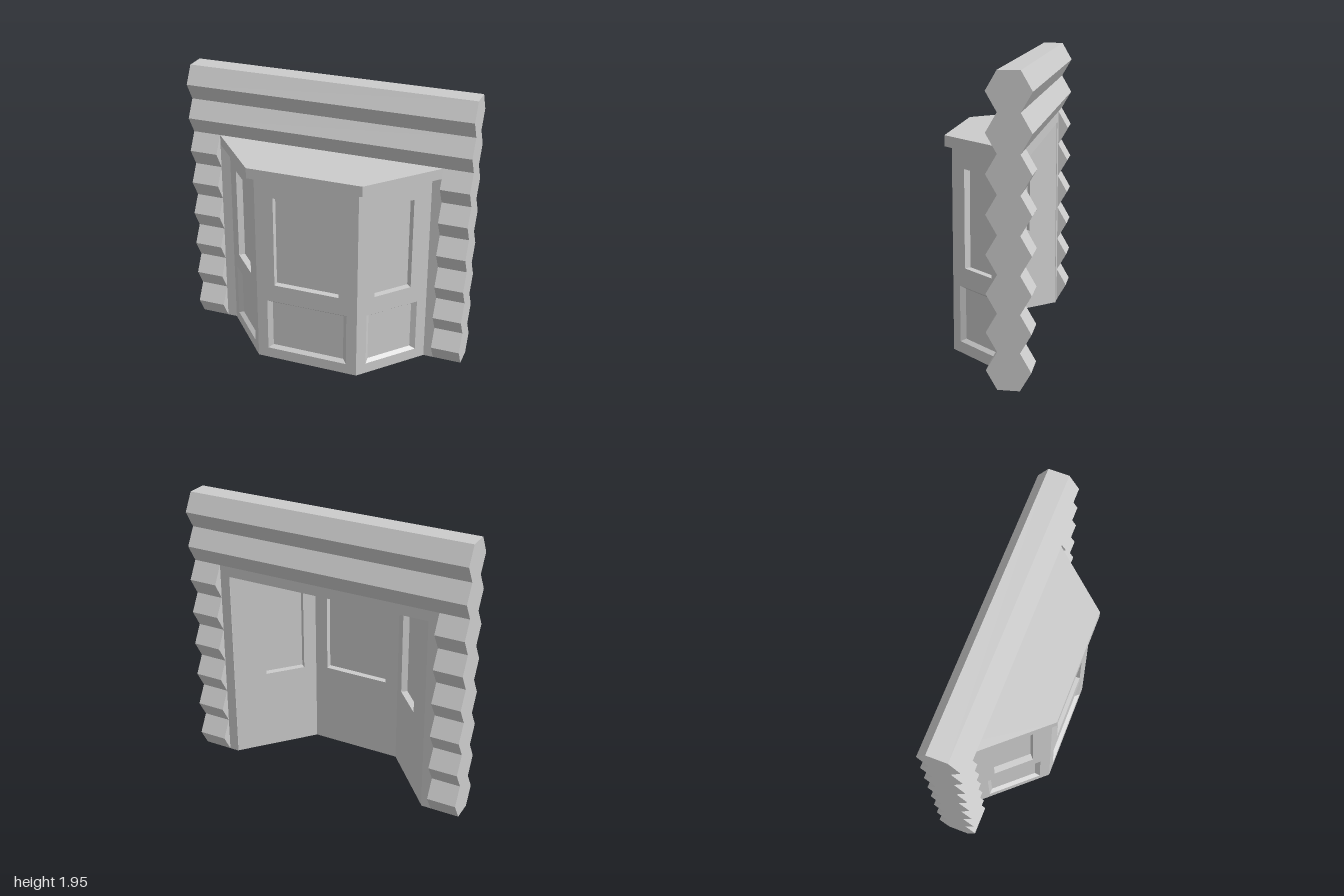
import * as THREE from 'three';

const LOG_H = 1.95 / 8;       // height of one log
const OPEN = 0.8;             // half width of the wall opening
const OPEN_H = LOG_H * 6;     // height of the opening
const WALL_H = 1.39;          // height of the bay walls
const T = 0.09;               // bay wall thickness
const BACK = -0.26, FRONT = -0.12;  // groove planes of the log wall

const solid = new THREE.MeshStandardMaterial({ color: 0xcccccc, flatShading: true });
const thin = new THREE.MeshStandardMaterial({ color: 0xcccccc, flatShading: true, side: THREE.DoubleSide });

function add(parent, name, geometry, material = solid) {
  const mesh = new THREE.Mesh(geometry, material);
  mesh.name = name;
  parent.add(mesh);
  return mesh;
}

const outline = (points) => new THREE.Shape(points.map(([x, y]) => new THREE.Vector2(x, y)));

// Corners of a rectangle, counter-clockwise
const rect = (x0, x1, y0, y1) => [[x0, y0], [x1, y0], [x1, y1], [x0, y1]];

// Stack of hexagonal logs running along x from x0 to x1
function logStack(parent, name, first, count, x0, x1) {
  const mid = (FRONT + BACK) / 2;
  const front = [], back = [];
  for (let i = 0; i <= 2 * count; i++) {
    const y = (first + i / 2) * LOG_H;
    const half = i % 2 ? 0.14 : 0.07;
    front.push([mid + half, y]);
    back.unshift([mid - half, y]);
  }
  const geometry = new THREE.ExtrudeGeometry(outline([...front, ...back]), { depth: x1 - x0, bevelEnabled: false });
  geometry.rotateY(-Math.PI / 2).translate(x1, 0, 0);
  add(parent, name, geometry);
}

// Four sides of a recess between two rectangles at different depths
function recess(outer, z0, inner, z1) {
  const positions = [];
  for (let i = 0; i < 4; i++) {
    const j = (i + 1) % 4;
    const a = [...outer[i], z0], b = [...outer[j], z0], c = [...inner[j], z1], d = [...inner[i], z1];
    positions.push(...a, ...b, ...c, ...a, ...c, ...d);
  }
  const geometry = new THREE.BufferGeometry();
  geometry.setAttribute('position', new THREE.Float32BufferAttribute(positions, 3));
  geometry.computeVertexNormals();
  return geometry;
}

const flat = (corners, holes = []) => {
  const shape = outline(corners);
  shape.holes = holes.map(outline);
  return new THREE.ShapeGeometry(shape);
};

// Bay wall with a window and a sunken lower panel; local z points outwards
function bayWall(name, width, innerX0, innerX1) {
  const wall = new THREE.Group();
  wall.name = name;
  const h = width / 2, bevel = 0.03, sink = 0.027;
  const windowRect = rect(-h + 0.132, h - 0.132, 0.595, 1.255);
  const panelOuter = rect(-h + 0.075, h - 0.075, 0.077, 0.465);
  const panelInner = rect(-h + 0.075 + bevel, h - 0.075 - bevel, 0.097, 0.445);

  add(wall, 'outerFace', flat(rect(-h, h, 0, WALL_H), [windowRect, panelOuter]), thin);
  add(wall, 'innerFace', flat(rect(innerX0, innerX1, 0, WALL_H), [windowRect]), thin).position.z = -T;
  add(wall, 'windowReveal', recess(windowRect, 0, windowRect, -T), thin);
  add(wall, 'windowPane', flat(windowRect), thin).position.z = -T / 2;
  add(wall, 'panelBevel', recess(panelOuter, 0, panelInner, -sink), thin);
  add(wall, 'panelFace', flat(panelInner), thin).position.z = -sink;
  return wall;
}

export function createModel() {
  const model = new THREE.Group();
  model.name = 'bayWindowWall';

  // Log wall around the opening
  logStack(model, 'upperLogs', 6, 2, -1, 1);
  logStack(model, 'leftLogs', 0, 6, OPEN, 1);
  logStack(model, 'rightLogs', 0, 6, -1, -OPEN);

  // Plan of the bay walls
  const cornerX = 0.365, endX = 0.73, bayZ = 0.29;
  const dx = endX - cornerX, dz = bayZ - FRONT;
  const length = Math.hypot(dx, dz);
  const angle = Math.atan2(dz, dx);
  const miter = T * Math.tan(angle / 2);
  const innerX = cornerX - miter, innerZ = bayZ - T;
  const innerLength = (innerZ - BACK) * length / dz;
  const innerEndX = innerX + innerLength * dx / length;

  // Front and slanted side walls
  const front = bayWall('bayFront', 2 * cornerX, -innerX, innerX);
  front.position.z = bayZ;
  model.add(front);
  for (const side of [1, -1]) {
    const near = -length / 2 + miter, far = near + innerLength;
    const label = side > 0 ? 'left' : 'right';
    const wall = bayWall(label + 'BaySide', length, side > 0 ? near : -far, side > 0 ? far : -near);
    wall.position.set(side * (cornerX + endX) / 2, 0, (bayZ + FRONT) / 2);
    wall.rotation.y = side * angle;
    model.add(wall);

    // Jamb between the bay and the logs
    const jamb = add(model, label + 'Jamb', new THREE.BoxGeometry(OPEN - endX, WALL_H, FRONT - BACK));
    jamb.position.set(side * (OPEN + endX) / 2, WALL_H / 2, (FRONT + BACK) / 2);
  }

  // Underside of the bay walls
  const base = flat([
    [endX, FRONT], [cornerX, bayZ], [-cornerX, bayZ], [-endX, FRONT], [-innerEndX, BACK],
    [-innerX, innerZ], [innerX, innerZ], [innerEndX, BACK],
  ]);
  add(model, 'bayUnderside', base.rotateX(Math.PI / 2), thin);

  // Roof slab over the bay
  const roof = new THREE.ExtrudeGeometry(
    outline([[-OPEN, BACK], [OPEN, BACK], [OPEN, FRONT], [0.4, 0.33], [-0.4, 0.33], [-OPEN, FRONT]]),
    { depth: OPEN_H - WALL_H, bevelEnabled: false });
  add(model, 'bayRoof', roof.rotateX(Math.PI / 2).translate(0, OPEN_H, 0));

  return model;
}
